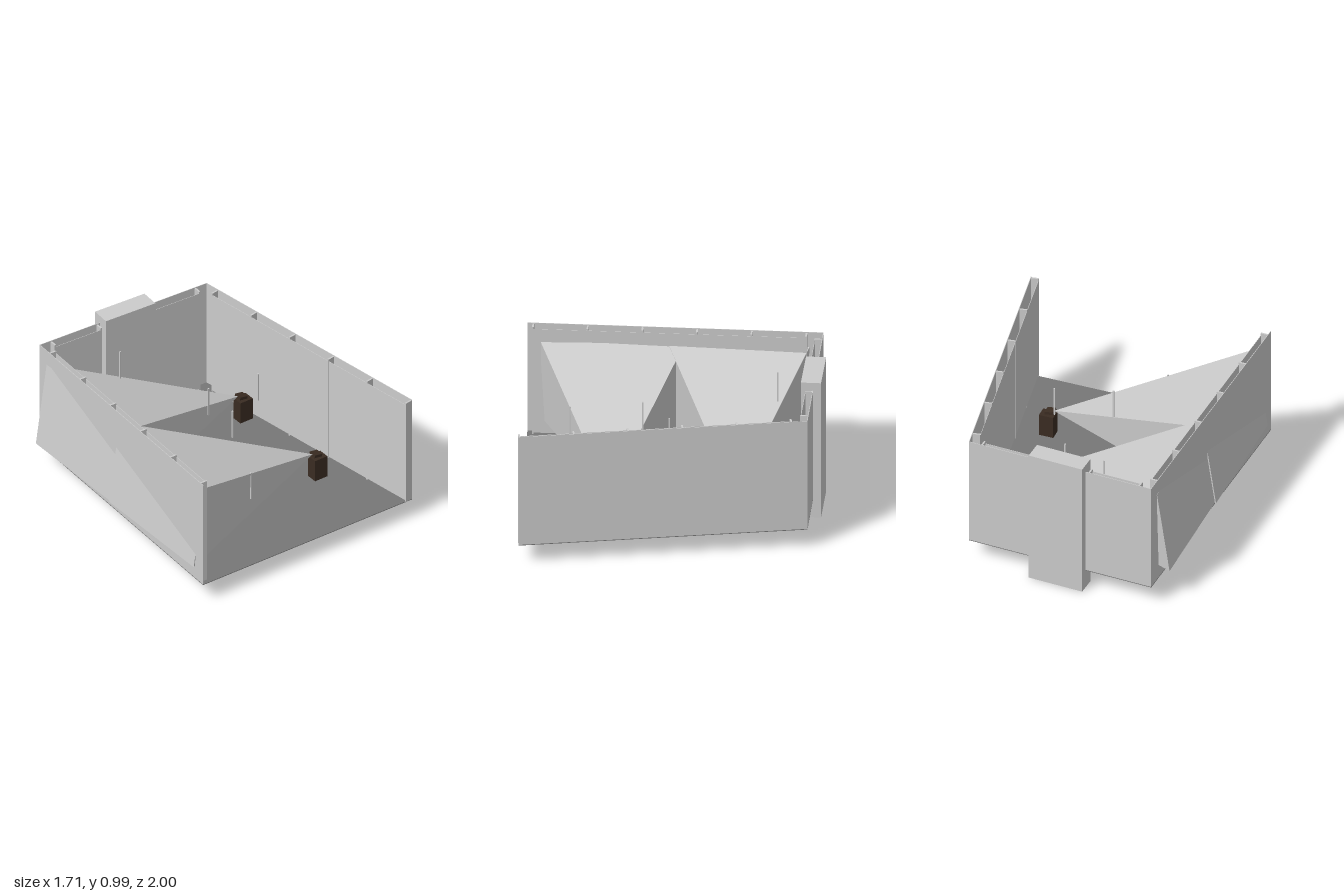
import * as THREE from 'three';
import { ConvexGeometry } from 'three/addons/geometries/ConvexGeometry.js';

const grey = new THREE.MeshStandardMaterial({ color: 0xcccccc, flatShading: true });
const floorGrey = new THREE.MeshStandardMaterial({ color: 0x777777, flatShading: true });
const black = new THREE.MeshStandardMaterial({ color: 0x3a2c22, flatShading: true });

const FLOOR = 0.14, TOP = 0.93, DEPTH = 0.055;

function add(parent, name, geometry, material = grey) {
  const mesh = new THREE.Mesh(geometry, material);
  mesh.name = name;
  parent.add(mesh);
  return mesh;
}

// Box given by its minimum and maximum corners
function box(parent, name, min, max, material) {
  const size = max.map((v, i) => v - min[i]);
  const mesh = add(parent, name, new THREE.BoxGeometry(...size), material);
  mesh.position.set(...max.map((v, i) => (v + min[i]) / 2));
  return mesh;
}

// Hollow stud wall from a to b (x, z); local +z points into the room
function wall(parent, name, a, b, firstStud, studCount) {
  const dx = b[0] - a[0], dz = b[1] - a[1], length = Math.hypot(dx, dz);
  const spacing = 0.36;
  const g = new THREE.Group();
  g.name = name;
  g.position.set(a[0], 0, a[1]);
  g.rotation.y = Math.atan2(-dz, dx);
  parent.add(g);
  box(g, 'outerSheet', [0, FLOOR, 0], [length, TOP, 0.004]);
  const lastStud = firstStud + spacing * (studCount - 1);
  box(g, 'innerSheet', [firstStud, FLOOR + 0.01, DEPTH - 0.004], [lastStud, TOP - 0.02, DEPTH - 0.001]);
  for (let i = 0; i < studCount; i++) {
    const s = firstStud + spacing * i;
    box(g, 'stud', [s - 0.006, FLOOR, 0.002], [s + 0.006, TOP - 0.005, DEPTH]);
  }
}

// Projector on the floor with its light pyramid thrown on the left-hand wall
function projector(parent, z, zMin, zMax, farShift) {
  const g = new THREE.Group();
  g.name = 'projector';
  parent.add(g);
  box(g, 'projectorBody', [0.455, FLOOR, z - 0.04], [0.555, 0.3, z + 0.04], black);
  const lens = box(g, 'projectorLens', [0.46, 0.312, z - 0.03], [0.52, 0.332, z + 0.03], black);
  lens.rotation.z = -0.15;
  const low = -0.845 - farShift, high = -0.757 - farShift;
  add(g, 'lightPyramid', new ConvexGeometry([
    new THREE.Vector3(0.465, 0.33, z),
    new THREE.Vector3(high, 0.825, zMin),
    new THREE.Vector3(high, 0.825, zMax),
    new THREE.Vector3(low, 0.232, zMin),
    new THREE.Vector3(low, 0.232, zMax),
  ]));
}

export function createModel() {
  const model = new THREE.Group();
  model.name = 'projectionRoom';

  // Corners of the skewed floor plan (x, z)
  const frontLow = [-0.845, 0.98], backLow = [-0.75, -0.97];
  const backHigh = [0.56, -0.9], frontHigh = [0.85, 0.99];

  const plan = new THREE.Shape([frontLow, backLow, backHigh, frontHigh].map(p => new THREE.Vector2(...p)));
  const floor = add(model, 'floor',
    new THREE.ExtrudeGeometry(plan, { depth: 0.005, bevelEnabled: false }), floorGrey);
  floor.rotation.x = Math.PI / 2;
  floor.position.y = FLOOR;

  // Walls, with the back wall interrupted by the column
  wall(model, 'screenWall', frontLow, backLow, 0.04, 6);
  wall(model, 'backWall', backLow, [-0.27, -0.944], 0.09, 2);
  wall(model, 'backWall', [0.1, -0.925], backHigh, 0.01, 2);
  wall(model, 'plainWall', backHigh, frontHigh, 0.105, 6);

  // Column through the back wall
  const column = box(model, 'column', [-0.28, 0, -0.988], [0.106, 0.985, -0.855]);
  column.rotation.y = -0.06;

  projector(model, -0.42, -0.88, 0.05, 0);
  projector(model, 0.41, -0.055, 0.89, 0.01);

  // Thin hanging rods: x, lower y, z
  const rods = [[-0.305, 0.645, -0.68], [0.12, 0.4, -0.28], [0.31, 0.605, 0.015],
    [-0.035, 0.55, 0.2], [-0.235, 0.41, 0.68]];
  for (const [x, y, z] of rods) {
    box(model, 'rod', [x - 0.005, y, z - 0.005], [x + 0.005, y + 0.21, z + 0.005]);
  }
  return model;
}
